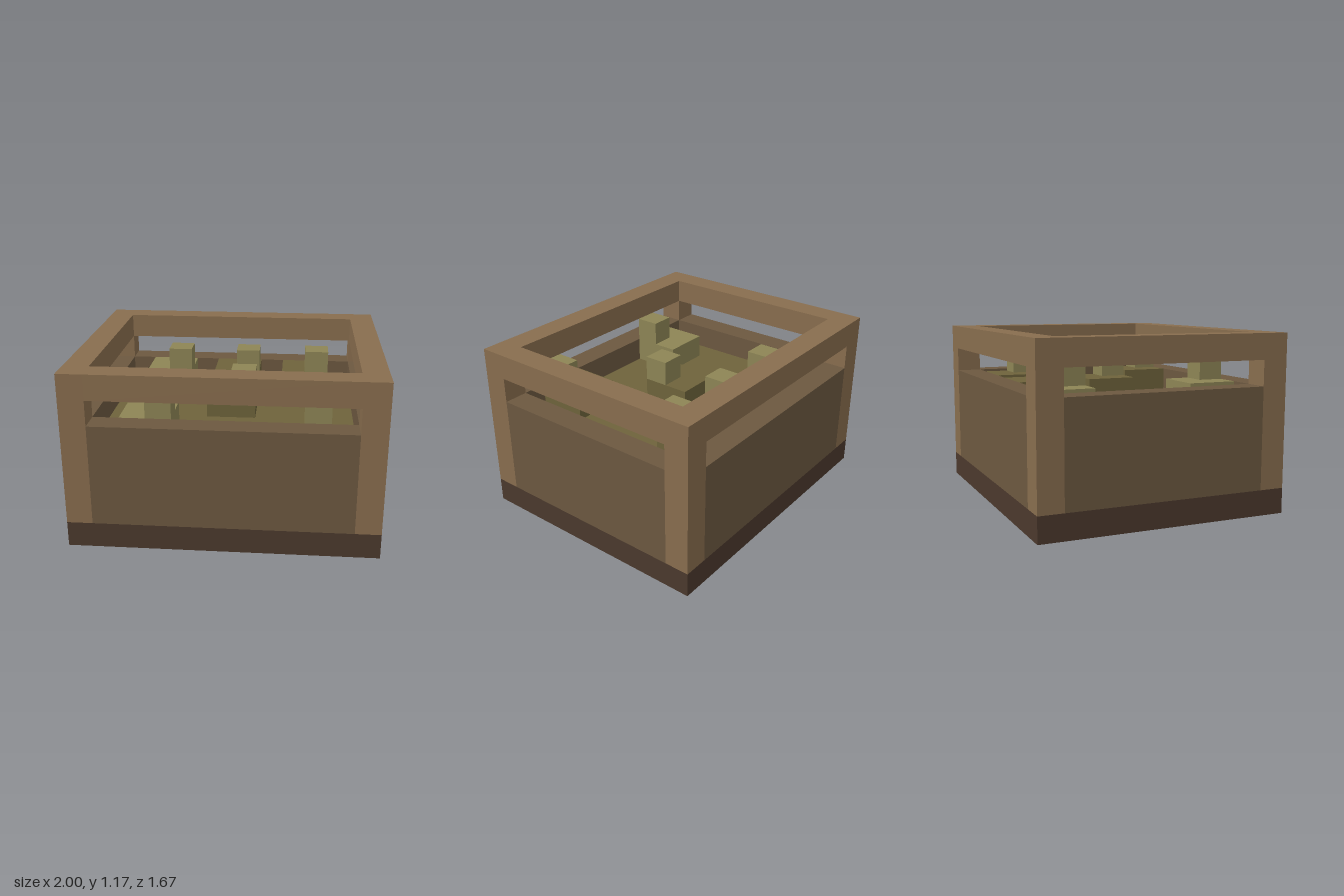
import * as THREE from 'three';

// One block of the grid is a sixth of a unit
const U = 1 / 6;

const mat = (color) => new THREE.MeshStandardMaterial({ color, flatShading: true });
const darkWood = mat(0x4b392d);
const panelWood = mat(0x6c5840);
const frameWood = mat(0x886d4e);
const soilMat = mat(0x6e633b);
const leafMat = mat(0x8d8555);

export function createModel() {
  const group = new THREE.Group();

  // Box given by its ranges in grid blocks
  const block = (name, material, [x0, x1], [y0, y1], [z0, z1]) => {
    const geo = new THREE.BoxGeometry((x1 - x0) * U, (y1 - y0) * U, (z1 - z0) * U);
    const mesh = new THREE.Mesh(geo, material);
    mesh.position.set((x0 + x1) * U / 2, (y0 + y1) * U / 2, (z0 + z1) * U / 2);
    mesh.name = name;
    group.add(mesh);
  };

  // Base slab and soil filling
  block('base', darkWood, [-6, 6], [0, 1], [-5, 5]);
  block('soil', soilMat, [-5, 5], [1, 4], [-4, 4]);

  // Side panels and the top rails above the open slots
  for (const [side, z] of [['front', [4, 5]], ['back', [-5, -4]]]) {
    block(side + 'Panel', panelWood, [-5, 5], [1, 5], z);
    block(side + 'Rail', frameWood, [-5, 5], [6, 7], z);
  }
  for (const [side, x] of [['left', [5, 6]], ['right', [-6, -5]]]) {
    block(side + 'Panel', panelWood, x, [1, 5], [-4, 4]);
    block(side + 'Rail', frameWood, x, [6, 7], [-4, 4]);

    // Corner posts
    block(side + 'FrontPost', frameWood, x, [1, 7], [4, 5]);
    block(side + 'BackPost', frameWood, x, [1, 7], [-5, -4]);
  }

  // Mounds, each with a small sprout on its front left corner
  const mounds = [
    [-4, -4, leafMat], [-1, -4, soilMat], [2, -4, soilMat],
    [-1, -1, soilMat],
    [-4, 2, leafMat], [2, 2, soilMat],
  ];
  for (const [x, z, material] of mounds) {
    block('mound', material, [x, x + 2], [4, 5], [z, z + 2]);
    block('sprout', leafMat, [x + 1, x + 2], [5, 6], [z + 1, z + 2]);
  }

  return group;
}
